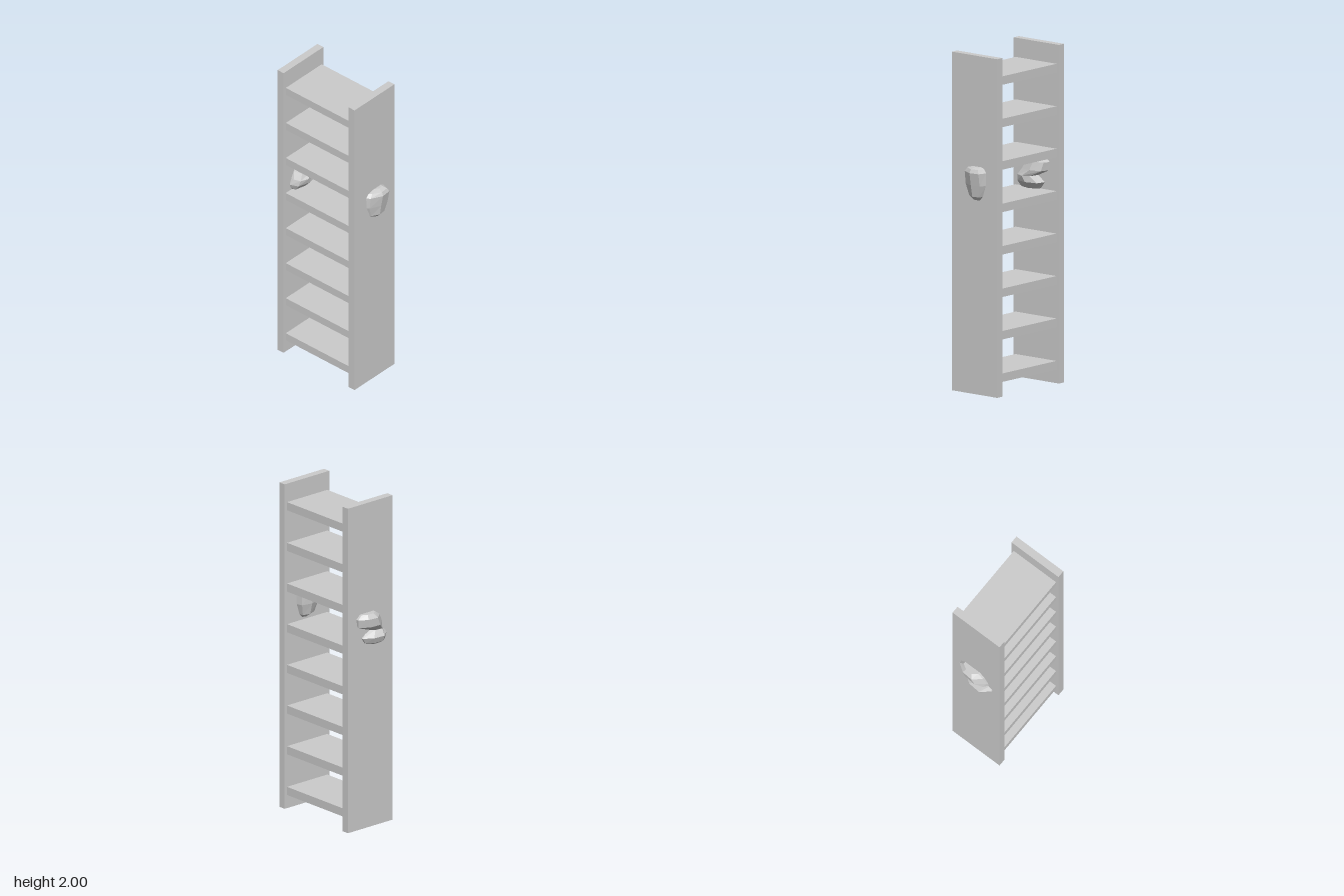
import * as THREE from 'three';

const material = new THREE.MeshStandardMaterial({ color: 0xcccccc, flatShading: true });

function addBox(group, name, size, position) {
  const mesh = new THREE.Mesh(new THREE.BoxGeometry(...size), material);
  mesh.name = name;
  mesh.position.set(...position);
  group.add(mesh);
}

// Faceted stone: one outline (unit square) fitted to each level [y, x0, x1, z0, z1], bottom to top
function stoneGeometry(outline, levels) {
  const n = outline.length;
  const positions = [];
  const index = [];
  for (const [y, x0, x1, z0, z1] of levels) {
    for (const [u, v] of outline) {
      positions.push((x0 + x1) / 2 + (u * (x1 - x0)) / 2, y, (z0 + z1) / 2 + (v * (z1 - z0)) / 2);
    }
  }
  for (let l = 0; l < levels.length - 1; l++) {
    for (let i = 0; i < n; i++) {
      const a = l * n + i, b = l * n + ((i + 1) % n);
      index.push(a, b, b + n, a, b + n, a + n);
    }
  }
  const top = (levels.length - 1) * n;
  for (let i = 1; i < n - 1; i++) {
    index.push(0, i + 1, i, top, top + i, top + i + 1);
  }
  const geometry = new THREE.BufferGeometry();
  geometry.setAttribute('position', new THREE.Float32BufferAttribute(positions, 3));
  geometry.setIndex(index);
  const flat = geometry.toNonIndexed();
  flat.computeVertexNormals();
  return flat;
}

function addStone(group, name, outline, levels) {
  const mesh = new THREE.Mesh(stoneGeometry(outline, levels), material);
  mesh.name = name;
  group.add(mesh);
}

export function createModel() {
  const model = new THREE.Group();
  model.name = 'shelfTower';

  // Two tall upright panels
  addBox(model, 'frontPanel', [0.346, 2, 0.046], [0, 1, 0.275]);
  addBox(model, 'backPanel', [0.346, 2, 0.046], [0, 1, -0.276]);

  // Eight evenly spaced shelves between them
  for (let i = 0; i < 8; i++) {
    addBox(model, `shelf${i + 1}`, [0.312, 0.05, 0.502], [0, 0.107 + i * 0.2507, 0]);
  }

  // Stone pushed through the front panel
  addStone(model, 'frontStone',
    [[-1, 0.2], [-0.75, 0.55], [0.05, 1], [0.8, 0.92], [1, 0.3], [0.8, -0.8], [0, -1], [-0.8, -0.7]],
    [
      [1.15, -0.02, 0.045, 0.245, 0.31],
      [1.172, -0.05, 0.066, 0.215, 0.33],
      [1.24, -0.077, 0.088, 0.2, 0.342],
      [1.315, -0.077, 0.09, 0.197, 0.355],
      [1.337, -0.055, 0.075, 0.21, 0.345],
      [1.346, -0.02, 0.06, 0.23, 0.315],
    ]);

  // Stone pushed through the back panel, pinched on one side
  addStone(model, 'backStone',
    [[-1, 0.2], [-0.8, 0.75], [0, 1], [0.8, 0.8], [1, 0], [1, -0.5], [0.4, -0.93], [-0.4, -1], [-1, -0.45]],
    [
      [1.118, -0.09, 0, -0.3, -0.24],
      [1.14, -0.11, 0.045, -0.34, -0.21],
      [1.175, -0.12, 0.068, -0.353, -0.18],
      [1.212, -0.105, 0.015, -0.326, -0.174],
      [1.25, -0.085, 0.1, -0.354, -0.18],
      [1.3, -0.06, 0.108, -0.356, -0.195],
      [1.325, -0.025, 0.08, -0.335, -0.25],
    ]);

  return model;
}
